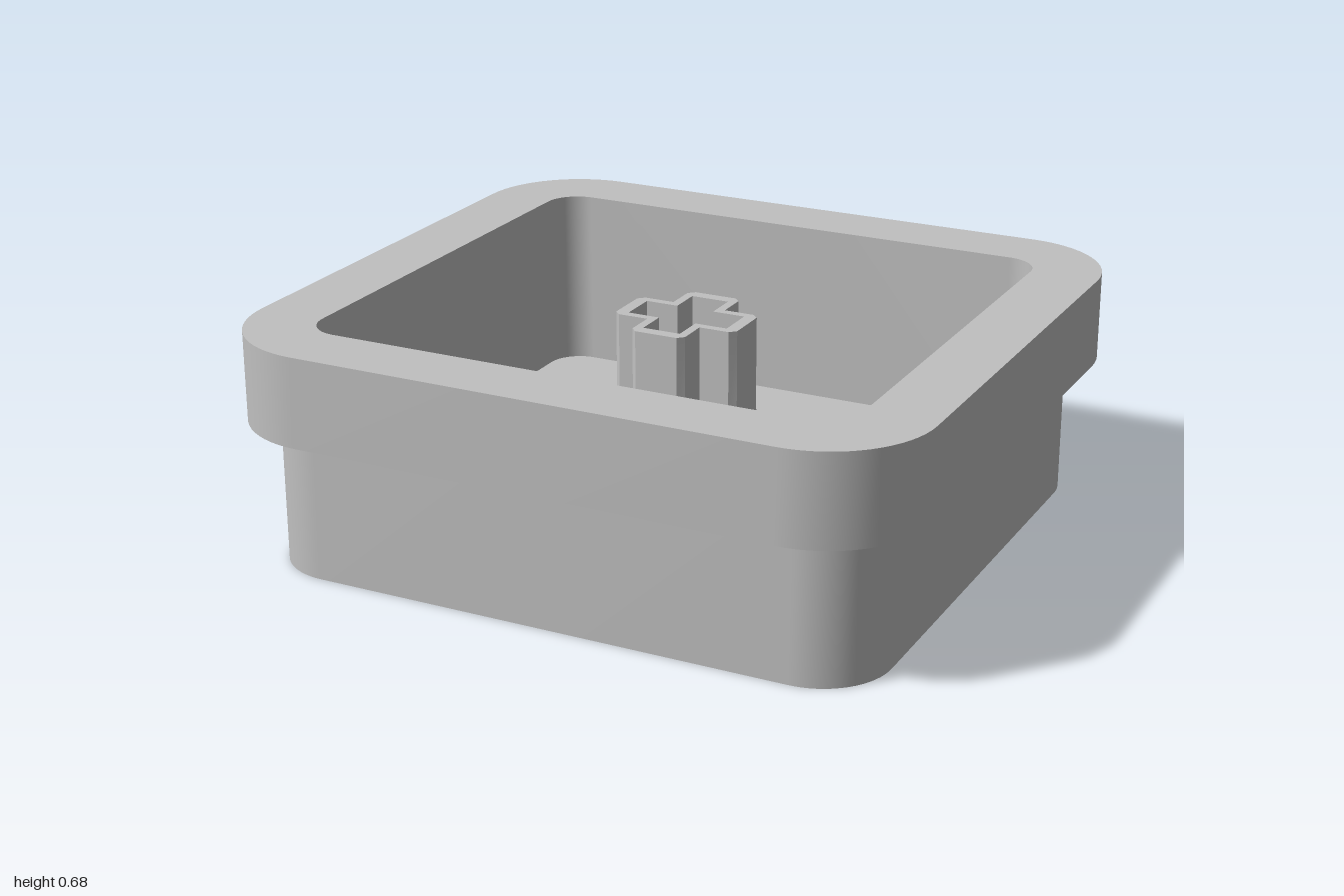
import * as THREE from 'three';
import { toCreasedNormals } from 'three/addons/utils/BufferGeometryUtils.js';

// Counter-clockwise rounded rectangle outline with half sizes w, d and corner radius r
function roundedRect(w, d, r, steps = 16) {
  const pts = [];
  [[1, 1], [-1, 1], [-1, -1], [1, -1]].forEach(([sx, sy], q) => {
    for (let i = 0; i <= steps; i++) {
      const a = (q + i / steps) * Math.PI / 2;
      pts.push(new THREE.Vector2(sx * (w - r) + r * Math.cos(a), sy * (d - r) + r * Math.sin(a)));
    }
  });
  return pts;
}

function circle(r, n = 64) {
  return Array.from({ length: n }, (_, i) => {
    const a = i / n * Math.PI * 2;
    return new THREE.Vector2(r * Math.cos(a), r * Math.sin(a));
  });
}

// Plus-shaped outline: arm reach L, arm half width h, cut c on the arm end corners
function cross(L, h, c) {
  const pts = [];
  for (let q = 0; q < 4; q++) {
    [[L, -h + c], [L, h - c], [L - c, h], [h, h]].forEach(([x, y]) =>
      pts.push(new THREE.Vector2(x, y).rotateAround(new THREE.Vector2(), q * Math.PI / 2)));
    const a = ((q + 1) * Math.PI) / 2;
    pts.push(new THREE.Vector2(L - c, -h).rotateAround(new THREE.Vector2(), a));
  }
  return pts;
}

// Upright wall through stacked outlines [[outline, y], ...]; inward turns it to face the middle
function wallGeometry(levels, inward = false) {
  const pos = [];
  const put = (p, y) => pos.push(p.x, y, -p.y);
  for (let k = 0; k + 1 < levels.length; k++) {
    const [lo, y0] = levels[k], [hi, y1] = levels[k + 1];
    for (let i = 0; i < lo.length; i++) {
      const j = (i + 1) % lo.length;
      const quad = [[lo[i], y0], [lo[j], y0], [hi[j], y1], [hi[i], y1]];
      const order = inward ? [0, 2, 1, 0, 3, 2] : [0, 1, 2, 0, 2, 3];
      order.forEach(n => put(...quad[n]));
    }
  }
  const g = new THREE.BufferGeometry();
  g.setAttribute('position', new THREE.Float32BufferAttribute(pos, 3));
  return toCreasedNormals(g, 0.5);
}

// Flat face at height y, facing up or down, with optional holes
function faceGeometry(outline, y, up, holes = []) {
  const shape = new THREE.Shape(outline);
  holes.forEach(h => shape.holes.push(new THREE.Path(h)));
  const g = new THREE.ShapeGeometry(shape);
  g.rotateX(up ? -Math.PI / 2 : Math.PI / 2);
  return g.translate(0, y, 0);
}

export function createModel() {
  const model = new THREE.Group();
  const grey = new THREE.MeshStandardMaterial({ color: 0xc0c0c0 });
  grey.name = 'plain grey';
  const part = (name, ...geometries) => {
    const group = new THREE.Group();
    group.name = name;
    geometries.forEach(g => {
      const mesh = new THREE.Mesh(g, grey);
      mesh.name = name + 'Surface';
      group.add(mesh);
    });
    model.add(group);
  };

  const TOP = 0.68, LEDGE = 0.42, FLOOR = 0.14, GROOVE = 0.04, STEM = 0.62;
  const rim = roundedRect(1, 0.93, 0.3);
  const body = roundedRect(0.905, 0.84, 0.2);
  const cavity = roundedRect(0.8, 0.73, 0.1);

  // Wide rim, narrower body and open cavity
  part('rim',
    wallGeometry([[rim, LEDGE], [rim, TOP]]),
    faceGeometry(rim, TOP, true, [cavity]),
    faceGeometry(rim, LEDGE, false, [body]));
  part('body', wallGeometry([[body, 0], [body, LEDGE]]));
  part('cavity',
    wallGeometry([[cavity, FLOOR], [cavity, TOP]], true),
    faceGeometry(cavity, FLOOR, true));

  // Hollow cross stem, its arm corners cut away towards the top
  const socket = cross(0.154, 0.057, 0);
  const stemFoot = cross(0.19, 0.082, 0.003);
  const stemTop = cross(0.19, 0.082, 0.018);
  part('stem',
    wallGeometry([[stemFoot, FLOOR], [stemFoot, 0.28], [stemTop, 0.36], [stemTop, STEM]]),
    wallGeometry([[socket, FLOOR], [socket, STEM]], true),
    faceGeometry(stemTop, STEM, true, [socket]));

  // Sun-shaped engraving underneath: a ring groove and eight ray pockets
  const ringOuter = circle(0.205), ringInner = circle(0.15);
  const rays = Array.from({ length: 8 }, (_, i) =>
    [[0.275, -0.025], [0.37, -0.025], [0.37, 0.025], [0.275, 0.025]].map(([x, y]) =>
      new THREE.Vector2(x, y).rotateAround(new THREE.Vector2(), i * Math.PI / 4)));
  part('underside',
    faceGeometry(body, 0, false, [ringOuter, ...rays]),
    faceGeometry(ringInner, 0, false));
  part('ringGroove',
    wallGeometry([[ringOuter, 0], [ringOuter, GROOVE]], true),
    wallGeometry([[ringInner, 0], [ringInner, GROOVE]]),
    faceGeometry(ringOuter, GROOVE, false, [ringInner]));
  rays.forEach(ray => part('rayPocket',
    wallGeometry([[ray, 0], [ray, GROOVE]], true),
    faceGeometry(ray, GROOVE, false)));

  return model;
}
